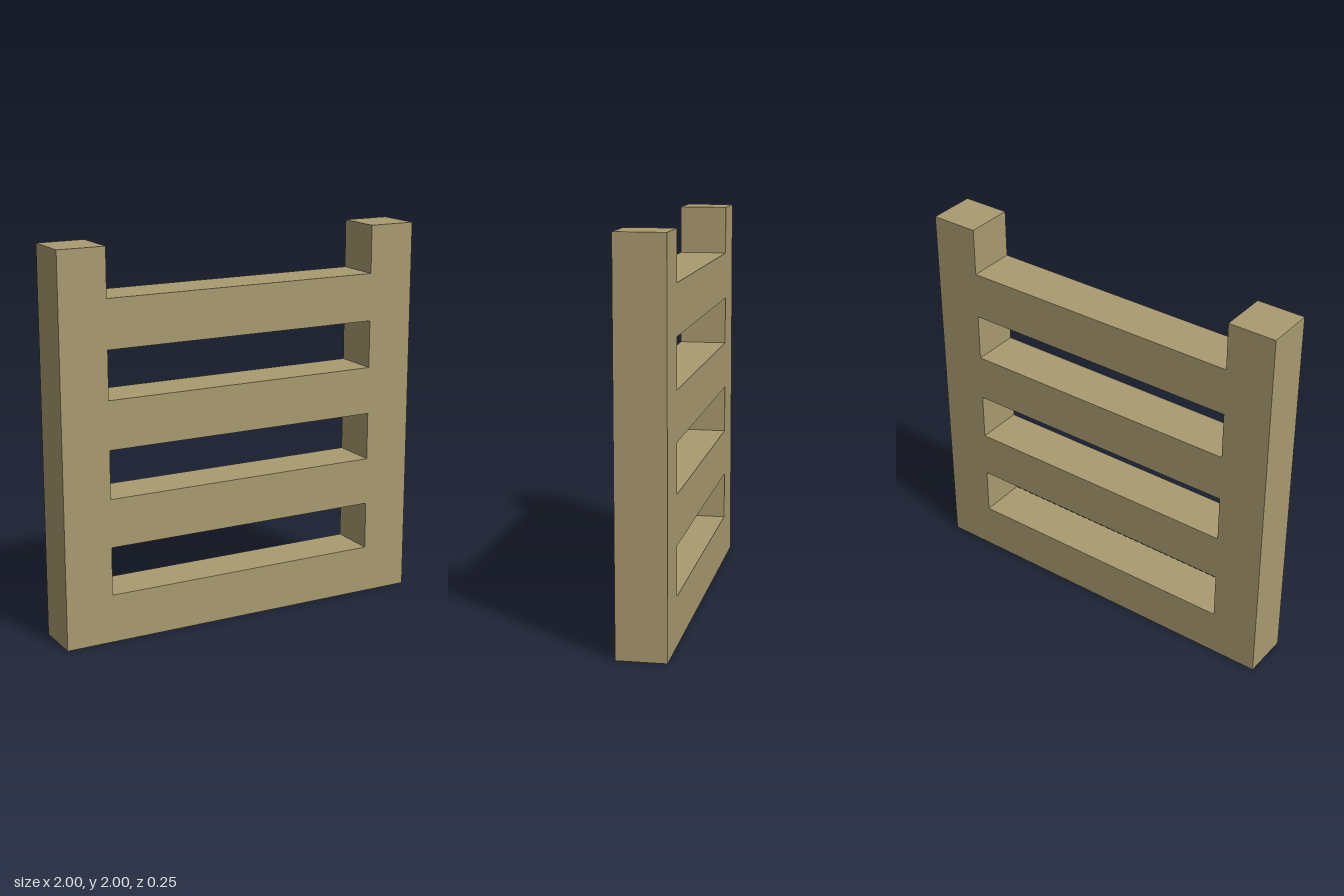
import * as THREE from 'three';

export function createModel() {
  const model = new THREE.Group();
  model.name = 'ladder';

  const wood = new THREE.MeshStandardMaterial({ color: 0xa99a70 });
  wood.name = 'wood';

  const beam = 0.25; // square section shared by posts and rungs
  const size = 2;

  const addBox = (name, w, h, x, y) => {
    const mesh = new THREE.Mesh(new THREE.BoxGeometry(w, h, beam), wood);
    mesh.name = name;
    mesh.position.set(x, y, 0);
    model.add(mesh);
  };

  // Upright posts
  for (const [name, side] of [['leftPost', 1], ['rightPost', -1]]) {
    addBox(name, beam, size, side * (size - beam) / 2, size / 2);
  }

  // Evenly spaced rungs between the posts, the lowest on the ground
  for (let i = 0; i < 4; i++) {
    addBox(`rung${i + 1}`, size - 2 * beam, beam, 0, beam / 2 + i * 2 * beam);
  }

  return model;
}
